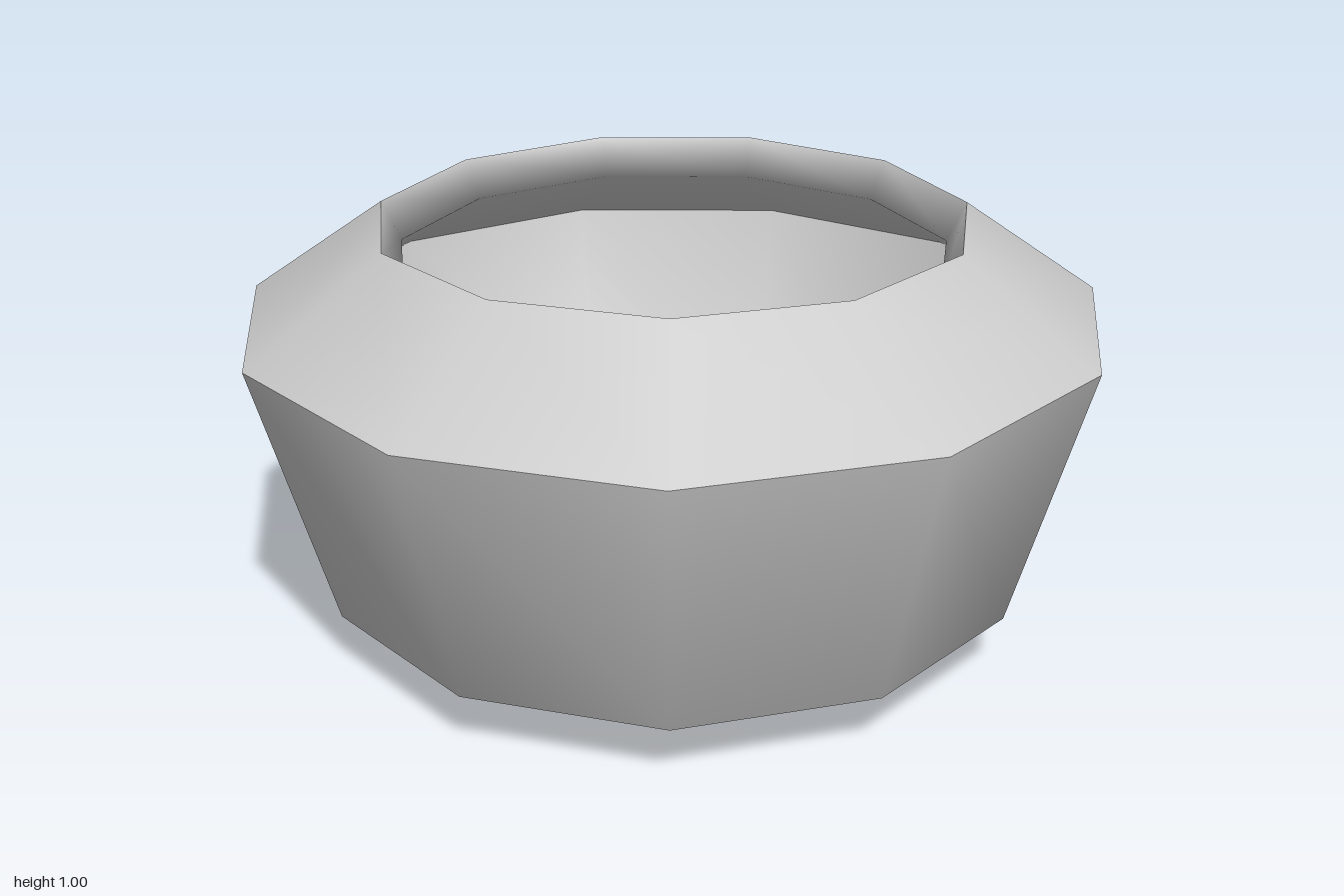
import * as THREE from 'three';

const SIDES = 11;
const CENTRE_X = -0.02;

// Corners of the wall section as [radius, height]; pieces meet at hard edges
const pieces = {
  outerWall: [[0, 0], [0.27, 0.003], [0.62, 0.033], [0.832, 0.145], [1.01, 0.775]],
  shoulder: [[1.01, 0.775], [0.689, 1.0]],
  innerLip: [[0.689, 1.0], [0.644, 0.908], [0.914, 0.738]],
  innerWall: [[0.914, 0.738], [0.754, 0.208], [0.592, 0.129], [0.266, 0.1], [0, 0.1]],
};

export function createModel() {
  const bowl = new THREE.Group();
  bowl.name = 'bowl';
  const material = new THREE.MeshStandardMaterial({ color: 0xcccccc, side: THREE.DoubleSide });

  // Each piece is turned round the same eleven-sided ring, with one corner on +x
  for (const [name, profile] of Object.entries(pieces)) {
    const points = profile.map(([r, y]) => new THREE.Vector2(r, y));
    const mesh = new THREE.Mesh(new THREE.LatheGeometry(points, SIDES, Math.PI / 2), material);
    mesh.name = name;
    mesh.position.x = CENTRE_X;
    bowl.add(mesh);
  }
  return bowl;
}
